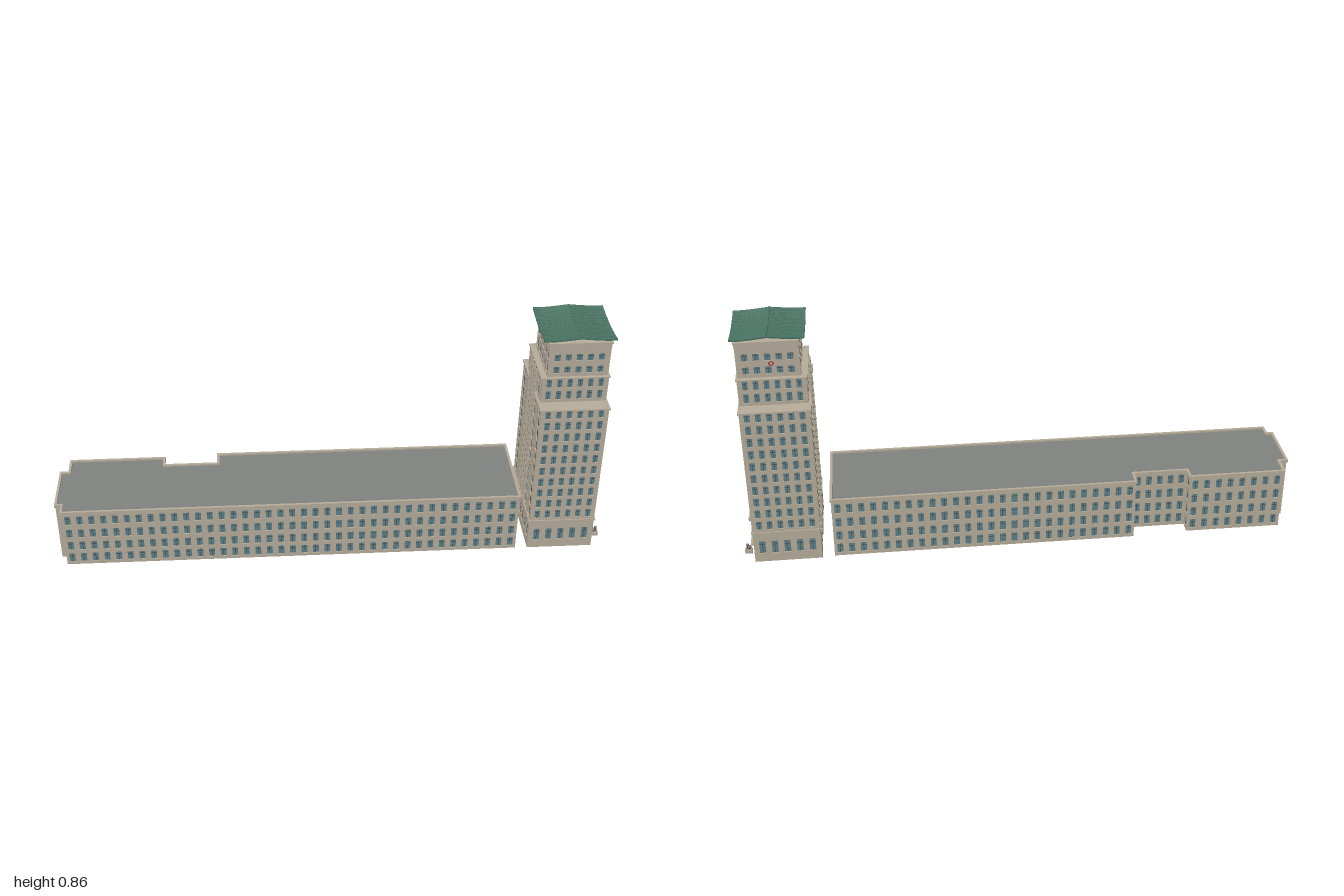
import * as THREE from 'three';
import { mergeGeometries } from 'three/addons/utils/BufferGeometryUtils.js';

const mat = (color, side = THREE.FrontSide) =>
  new THREE.MeshStandardMaterial({ color, side, flatShading: true });
const M = {
  stone: mat(0xb8ae9c),
  glass: mat(0x5f818a, THREE.DoubleSide),
  frame: mat(0x3b4144),
  spandrel: mat(0x87837a),
  flat: mat(0x808380, THREE.DoubleSide),
  slab: mat(0xb8ae9c, THREE.DoubleSide),
  dark: mat(0x2c3032, THREE.DoubleSide),
  tiles: mat(0x47705f, THREE.DoubleSide),
  red: mat(0xa3202c),
  statue: mat(0x6f6a60),
};
const T = 0.005; // wall thickness

function add(parent, name, geo, material) {
  const m = new THREE.Mesh(geo, material);
  m.name = name;
  parent.add(m);
  return m;
}
function box(w, h, d, x, y, z) {
  return new THREE.BoxGeometry(w, h, d).translate(x, y, z);
}
function addMerged(parent, name, geos, material) {
  if (geos.length) add(parent, name, mergeGeometries(geos), material);
}

// grid of openings: columns, rows, width, height
const grid = (cols, rows, w, h) => rows.flatMap(y => cols.map(x => ({ x, y, w, h })));
const spread = (n, pitch) => Array.from({ length: n }, (_, i) => (i - (n - 1) / 2) * pitch);

// wall panel in its own frame (x along, y up, outward +z) with real openings
function wallPanel(name, width, y0, y1, openings, coping) {
  const g = new THREE.Group();
  g.name = name;
  const rect = (P, a, b, c, d) =>
    new P([[a, b], [c, b], [c, d], [a, d]].map(p => new THREE.Vector2(...p)));
  const s = rect(THREE.Shape, -width / 2, y0, width / 2, y1);
  s.holes = openings.map(o =>
    rect(THREE.Path, o.x - o.w / 2, o.y - o.h / 2, o.x + o.w / 2, o.y + o.h / 2));
  add(g, 'wall', new THREE.ExtrudeGeometry(s, { depth: T, bevelEnabled: false }).translate(0, 0, -T), M.stone);
  const panes = { glass: [], dark: [] }, bars = [], sills = [];
  for (const o of openings) {
    panes[o.dark ? 'dark' : 'glass'].push(new THREE.PlaneGeometry(o.w, o.h).translate(o.x, o.y, -T * 0.6));
    const n = o.door ? 9 : 1;
    for (let i = 1; i <= n; i++)
      bars.push(box(0.0012, o.h, 0.002, o.x - o.w / 2 + (i * o.w) / (n + 1), o.y, -T * 0.6));
    bars.push(box(o.w, 0.0012, 0.002, o.x, o.y + o.h * 0.2, -T * 0.6));
    if (!o.door) sills.push(box(o.w + 0.003, 0.0018, 0.003, o.x, o.y - o.h / 2, 0.0005));
  }
  addMerged(g, 'windowGlass', panes.glass, M.glass);
  addMerged(g, 'darkPanes', panes.dark, M.dark);
  addMerged(g, 'windowBars', bars, M.frame);
  addMerged(g, 'windowSills', sills, M.stone);
  if (coping) add(g, 'coping', box(width + 0.008, coping, 0.009, 0, y1 - coping / 2, -0.0005), M.stone);
  return g;
}

// ring of walls round a plan outline [x, z], ordered front, right, back, left
function walls(parent, outline, y0, y1, openingsFor, coping) {
  return outline.map((a, i) => {
    const b = outline[(i + 1) % outline.length];
    const dx = b[0] - a[0], dz = b[1] - a[1], len = Math.hypot(dx, dz);
    const p = wallPanel('facade' + (i + 1), len, y0, y1, openingsFor(i, len), coping);
    p.position.set((a[0] + b[0]) / 2, 0, (a[1] + b[1]) / 2);
    p.rotation.y = Math.atan2(-dz, dx);
    parent.add(p);
    return p;
  });
}
function plate(parent, name, outline, y, material) {
  const s = new THREE.Shape(outline.map(([x, z]) => new THREE.Vector2(x, -z)));
  add(parent, name, new THREE.ShapeGeometry(s).rotateX(-Math.PI / 2).translate(0, y, 0), material);
}
const rectPlan = (x0, x1, z0, z1) => [[x0, z1], [x1, z1], [x1, z0], [x0, z0]];

// long four-storey wing
function wing() {
  const g = new THREE.Group();
  g.name = 'longWing';
  const plan = [[-0.965, 0.155], [0.672, 0.155], [0.672, -0.17], [-0.412, -0.17], [-0.412, -0.112],
    [-0.611, -0.112], [-0.611, -0.158], [-0.957, -0.158], [-0.957, -0.086], [-0.988, -0.086],
    [-0.988, 0.111], [-0.965, 0.111]];
  walls(g, plan, 0, 0.238, (i, len) => {
    const n = Math.round(len / 0.0425);
    return len < 0.035 ? [] : grid(spread(n, len / n), [0.031, 0.084, 0.14, 0.198], 0.021, 0.037);
  }, 0.01);
  plate(g, 'wingRoof', plan, 0.231, M.flat);
  return g;
}

// seated guardian statue on a pedestal, facing +x
function guardian(x, z) {
  const g = new THREE.Group();
  g.name = 'guardianStatue';
  const ball = (r, px, py, sx, sy) =>
    new THREE.SphereGeometry(r, 8, 6).scale(sx, sy, 1).translate(px, py, 0);
  add(g, 'pedestal', box(0.026, 0.014, 0.018, 0, 0.007, 0), M.stone);
  add(g, 'body', ball(0.007, -0.003, 0.021, 1.1, 1.3), M.statue);
  add(g, 'head', ball(0.0055, 0.003, 0.032, 1, 1), M.statue);
  for (const s of [-1, 1]) add(g, 'foreleg', box(0.003, 0.014, 0.003, 0.006, 0.021, s * 0.004), M.statue);
  g.position.set(x, 0, z);
  return g;
}

// saddle-shaped tiled roof, ridge running front to back with raised ends
function tiledRoof() {
  const w = 0.247, d = 0.234, geo = new THREE.BoxGeometry(w, 0.005, d, 16, 1, 48);
  const p = geo.attributes.position;
  for (let i = 0; i < p.count; i++) {
    const t = Math.abs(p.getX(i)) / (w / 2), s = p.getZ(i) / (d / 2);
    const rib = p.getY(i) > 0 && Math.round(((s + 1) / 2) * 48) % 2 ? 0.0016 : 0;
    p.setY(i, p.getY(i) + 0.836 + 0.01 * s * s + 0.012 * (1 - t) ** 1.2 + 0.004 * t ** 4 + rib);
  }
  geo.computeVertexNormals();
  const g = new THREE.Group();
  g.name = 'tiledRoof';
  add(g, 'roofTiles', geo, M.tiles);
  const ridge = new THREE.CatmullRomCurve3(
    [-1, -0.5, 0, 0.5, 1].map(s => new THREE.Vector3(0, 0.85 + 0.01 * s * s, (s * d) / 2)));
  add(g, 'ridge', new THREE.TubeGeometry(ridge, 16, 0.0025, 6), M.tiles);
  g.position.set(0.841, 0, -0.01);
  return g;
}

function tower() {
  const g = new THREE.Group();
  g.name = 'tower';
  const rowsFrom = (y, n) => Array.from({ length: n }, (_, i) => y + i * 0.0481);
  const broad = i => i % 2 === 1; // right and left faces carry the central bay
  const bay = (rows, outer) => [
    ...(outer ? grid([-0.14, 0.14], rows, 0.025, 0.034) : []),
    ...grid([-0.065, 0.065], rows, 0.019, 0.034),
    ...grid([-0.03, 0, 0.03], rows, 0.019, 0.036),
    ...grid([-0.1, 0.1], rows, 0.008, 0.024).map(o => ({ ...o, dark: true })),
  ];
  const base = rectPlan(0.716, 0.953, -0.177, 0.156);
  const mid = rectPlan(0.721, 0.953, -0.125, 0.104);
  const top = rectPlan(0.739, 0.951, -0.109, 0.094);

  // ground storey, entrance on the right
  const ground = walls(g, base, 0, 0.125, i => {
    if (i === 1) return [
      { x: 0, y: 0.055, w: 0.116, h: 0.088, dark: true, door: true },
      ...grid([-0.094, 0.094], [0.085], 0.018, 0.036).map(o => ({ ...o, dark: true }))];
    return grid(spread(broad(i) ? 7 : 5, 0.044), [0.06], 0.022, 0.05);
  }, 0.007);
  const entry = [-0.058, -0.027, 0.027, 0.058].map(x => box(0.007, 0.106, 0.008, x, 0.053, 0.001));
  entry.push(box(0.13, 0.01, 0.022, 0, 0.005, 0.011), box(0.116, 0.005, 0.006, 0, 0.1, 0));
  addMerged(ground[1], 'entrancePillarsAndStep', entry, M.stone);
  plate(g, 'groundCeiling', base, 0.125, M.slab);

  // main shaft, set-back storeys and top storeys
  const shaft = walls(g, base, 0.125, 0.606, i =>
    broad(i) ? bay(rowsFrom(0.152, 10), true) : grid(spread(6, 0.037), rowsFrom(0.152, 10), 0.019, 0.034), 0.006);
  plate(g, 'shaftTerrace', base, 0.604, M.slab);
  walls(g, mid, 0.604, 0.704, i =>
    broad(i) ? bay(rowsFrom(0.632, 2), false) : grid(spread(6, 0.036), rowsFrom(0.632, 2), 0.018, 0.034), 0.005);
  plate(g, 'upperTerrace', mid, 0.702, M.slab);
  const crown = walls(g, top, 0.702, 0.835, i =>
    grid(spread(5, broad(i) ? 0.041 : 0.038), [0.728, 0.777], 0.021, 0.026), 0.007);
  plate(g, 'crownCeiling', top, 0.832, M.slab);

  // ribs and spandrels of the central bays
  for (const i of [1, 3]) {
    const ribs = [-0.046, -0.015, 0.015, 0.046].map(x => box(0.006, 0.572, 0.007, x, 0.414, 0.001));
    addMerged(shaft[i], 'bayRibs', ribs, M.stone);
    const panels = grid([-0.03, 0, 0.03], rowsFrom(0.176, 11), 0.019, 0.009)
      .map(o => box(o.w, o.h, 0.002, o.x, o.y, 0.0005));
    addMerged(shaft[i], 'baySpandrels', panels, M.spandrel);
  }
  // row of small corbels below the crown
  crown.forEach((c, i) => {
    const n = broad(i) ? 19 : 20;
    addMerged(c, 'corbels', spread(n, 0.0104).map(x => box(0.004, 0.005, 0.003, x, 0.814, 0.001)), M.stone);
  });
  // plain red ring ornaments
  for (const [i, x] of [[1, -0.064], [2, 0.01]])
    add(crown[i], 'redRing', new THREE.TorusGeometry(0.007, 0.0018, 6, 20).translate(x, 0.753, 0.002), M.red);

  g.add(tiledRoof(), guardian(0.979, -0.1145), guardian(0.979, 0.0935));
  return g;
}

export function createModel() {
  const root = new THREE.Group();
  root.name = 'towerBuilding';
  const site = new THREE.Group();
  site.name = 'angledPlan';
  site.rotation.y = THREE.MathUtils.degToRad(-7.5);
  site.add(wing(), tower());
  root.add(site);
  return root;
}
